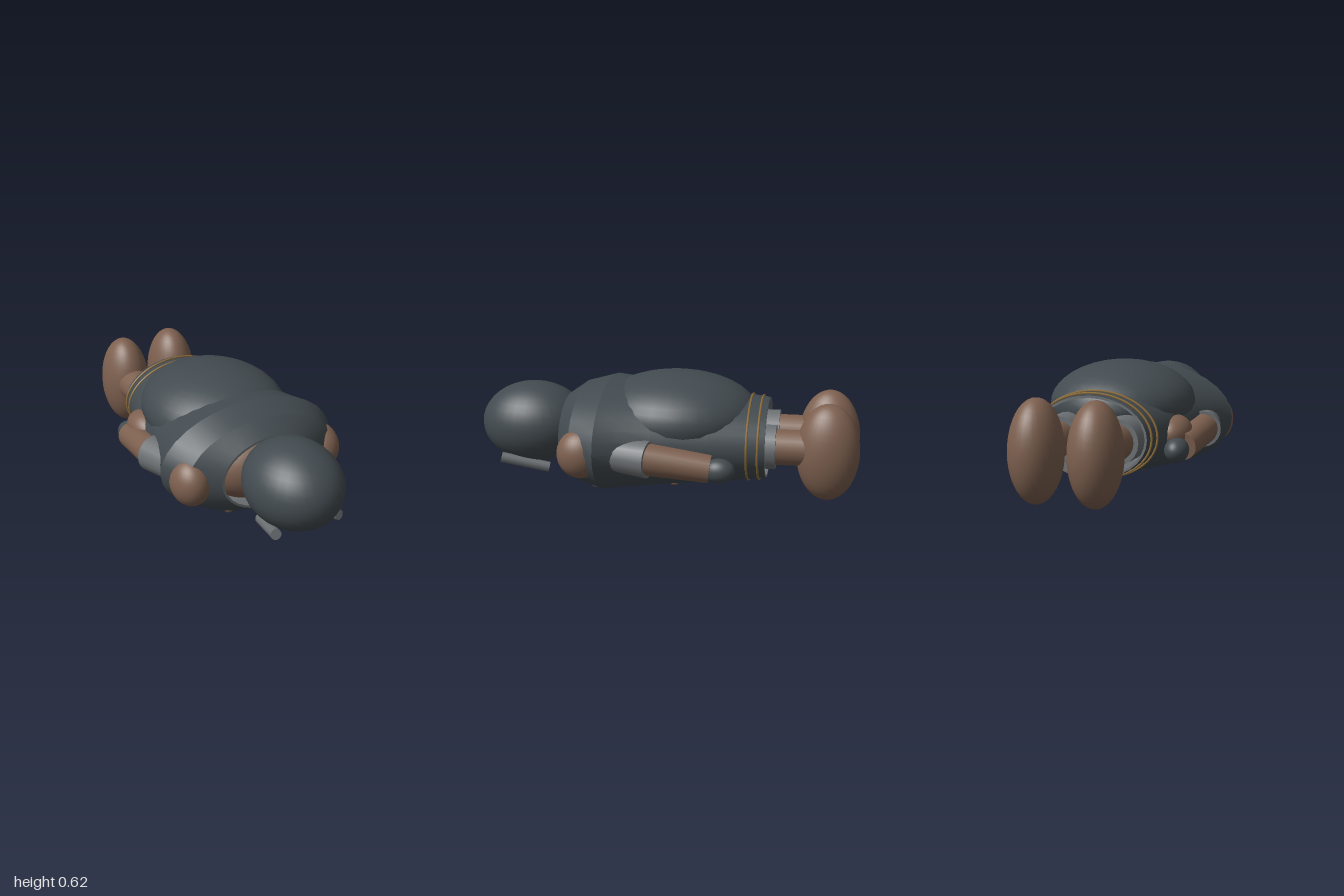
import * as THREE from 'three';
import { toCreasedNormals } from 'three/addons/utils/BufferGeometryUtils.js';

const mat = (name, color) => {
  const m = new THREE.MeshStandardMaterial({ color });
  m.name = name;
  return m;
};

// Elliptical sections [z, centreY, radiusX, radiusY] joined into an open skin
function loft(sections, sides = 32) {
  const pos = [], idx = [];
  sections.forEach(([z, cy, rx, ry], i) => {
    for (let j = 0; j < sides; j++) {
      const t = (j / sides) * Math.PI * 2;
      pos.push(rx * Math.cos(t), cy + ry * Math.sin(t), z);
      if (i === sections.length - 1) continue;
      const a = i * sides + j, c = i * sides + (j + 1) % sides;
      idx.push(a, a + sides, c, c, a + sides, c + sides);
    }
  });
  const g = new THREE.BufferGeometry();
  g.setAttribute('position', new THREE.Float32BufferAttribute(pos, 3));
  g.setIndex(idx);
  return toCreasedNormals(g, 0.3);
}

class EllipseLoop extends THREE.Curve {
  constructor(z, cy, rx, ry) {
    super();
    Object.assign(this, { z, cy, rx, ry });
  }
  getPoint(t, out = new THREE.Vector3()) {
    const a = t * Math.PI * 2;
    return out.set(this.rx * Math.cos(a), this.cy + this.ry * Math.sin(a), this.z);
  }
}

export function createModel() {
  const model = new THREE.Group();
  const dark = mat('charcoal', 0x434b50);
  const brown = mat('brown', 0x7d604f);
  const grey = mat('grey', 0x6c7073);
  const gold = mat('gold', 0x8c6c3a);

  const add = (name, geo, material) => {
    const m = new THREE.Mesh(geo, material);
    m.name = name;
    model.add(m);
    return m;
  };
  const ball = (name, material, p, r) => {
    const m = add(name, new THREE.SphereGeometry(1, 32, 20), material);
    m.position.set(...p);
    m.scale.set(...r);
    return m;
  };
  // Tapered cylinder from point a (radius ra) to point b (radius rb)
  const rod = (name, material, a, b, ra, rb = ra, sides = 20) => {
    const A = new THREE.Vector3(...a), B = new THREE.Vector3(...b);
    const d = B.clone().sub(A);
    const m = add(name, new THREE.CylinderGeometry(rb, ra, d.length(), sides), material);
    m.position.copy(A).add(B).multiplyScalar(0.5);
    m.quaternion.setFromUnitVectors(new THREE.Vector3(0, 1, 0), d.normalize());
    return m;
  };

  // Coat: dark shell with a grey lining, open at the neck and hem
  const coat = [
    [0.525, 0.285, 0.275, 0.195],
    [0.44, 0.29, 0.415, 0.25],
    [0.3, 0.29, 0.493, 0.287],
    [0.2, 0.291, 0.445, 0.28],
    [0.03, 0.291, 0.4, 0.262],
    [-0.25, 0.29, 0.35, 0.233],
    [-0.53, 0.287, 0.288, 0.203],
  ];
  const inner = coat.map(([z, cy, rx, ry]) => [z, cy, rx - 0.012, ry - 0.012]);
  add('coat', loft(coat), dark);
  add('coatLining', loft([coat[6], ...inner.reverse(), coat[0]]), grey);

  // Gold hem trims
  for (const [z, rx, ry] of [[-0.44, 0.311, 0.215], [-0.495, 0.3, 0.21]]) {
    add('hemTrim', new THREE.TubeGeometry(new EllipseLoop(z, 0.288, rx, ry), 64, 0.006, 6, true), gold);
  }

  // Head, body inside the collar, back hump
  ball('head', dark, [0, 0.32, 0.72], [0.235, 0.216, 0.28]);
  ball('innerBody', brown, [0, 0.285, 0.35], [0.29, 0.2, 0.21]);
  ball('backHump', dark, [0, 0.4, -0.05], [0.37, 0.22, 0.43]);
  ball('clasp', gold, [0, 0.036, 0.42], [0.042, 0.014, 0.03]);

  for (const s of [1, -1]) {
    // Shoulder and arm
    ball('shoulder', brown, [s * 0.375, 0.265, 0.385], [0.1, 0.125, 0.12]);
    rod('sleeve', grey, [s * 0.35, 0.27, 0.26], [s * 0.405, 0.262, 0.03], 0.085, 0.094);
    rod('forearm', brown, [s * 0.4, 0.265, 0.06], [s * 0.385, 0.222, -0.27], 0.082, 0.07);
    ball('hand', dark, [s * 0.37, 0.21, -0.315], [0.06, 0.062, 0.08]);

    // Leg and foot
    rod('trouserLeg', grey, [s * 0.15, 0.28, -0.05], [s * 0.15, 0.28, -0.58], 0.112);
    rod('ankle', brown, [s * 0.148, 0.28, -0.55], [s * 0.148, 0.28, -0.76], 0.09);
    ball('foot', brown, [s * 0.147, 0.265, -0.84], [0.128, 0.25, 0.16]);

    // Face rods and small collar pegs
    rod('faceRod', grey, [s * 0.115, 0.1, 0.62], [s * 0.178, 0.163, 0.86], 0.027, 0.027, 12);
    rod('collarPeg', grey, [s * 0.075, 0.1, 0.46], [s * 0.075, 0.1, 0.55], 0.017, 0.017, 12);

    // Small bumps along the chest
    ball('chestBump', dark, [s * 0.15, 0.033, 0.34], [0.04, 0.022, 0.04]);
    ball('bellyToggle', s > 0 ? brown : dark, [s * 0.11, 0.05, -0.05], [0.016, 0.016, 0.024]);
  }
  // Side pouch and chest patch on the right only
  ball('sidePouch', brown, [-0.325, 0.28, -0.21], [0.09, 0.09, 0.13]);
  ball('chestPatch', brown, [-0.182, 0.074, 0.425], [0.026, 0.02, 0.026]);

  return model;
}
